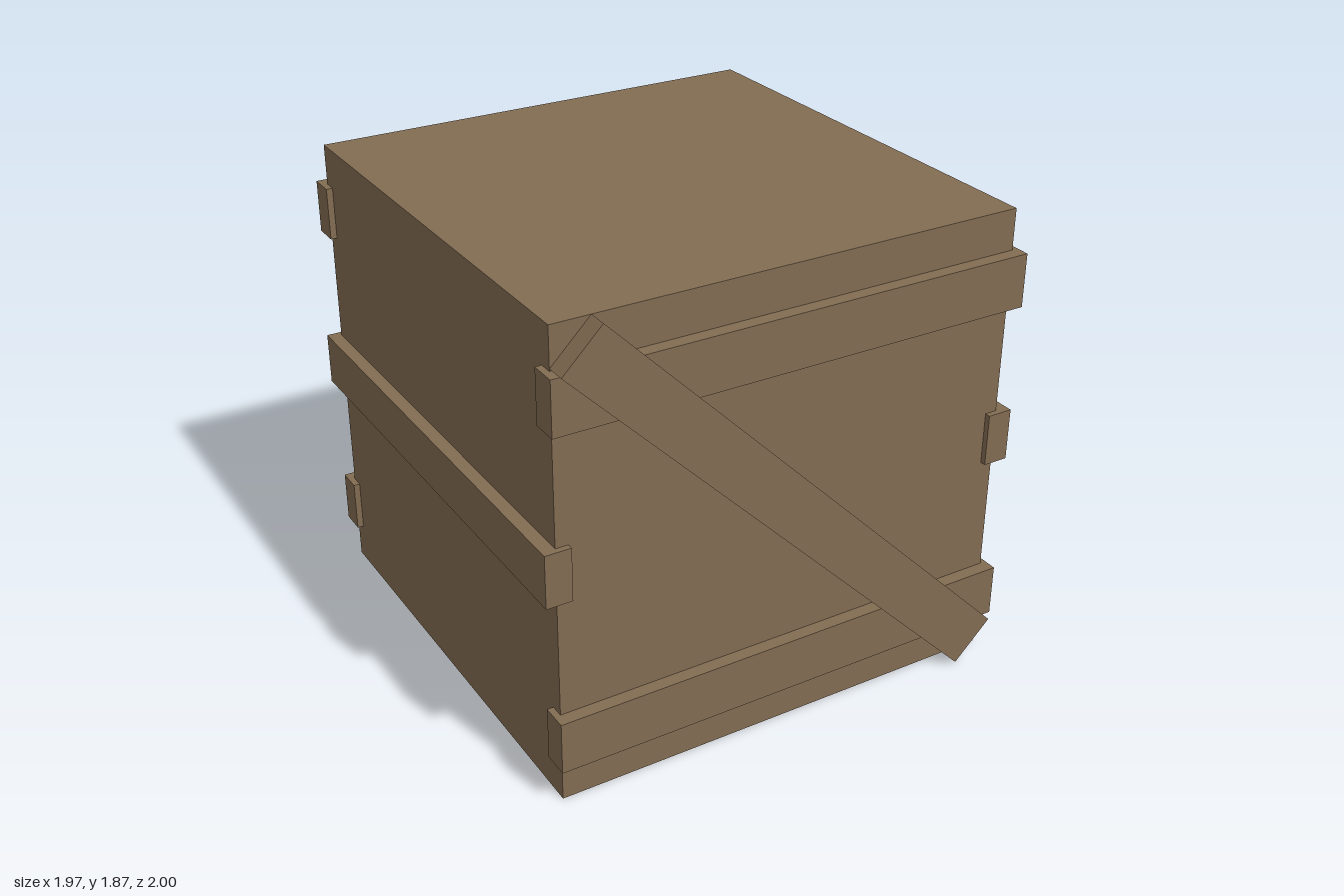
import * as THREE from 'three';

export function createModel() {
  const crate = new THREE.Group();
  crate.name = 'crate';
  const wood = new THREE.MeshStandardMaterial({ color: 0x826c52 });
  wood.name = 'brown wood';

  function add(name, geometry, x, y, z) {
    const mesh = new THREE.Mesh(geometry, wood);
    mesh.name = name;
    mesh.position.set(x, y, z);
    crate.add(mesh);
  }
  const box = (w, h, d) => new THREE.BoxGeometry(w, h, d);

  // Main cube
  const size = 1.87, bodyZ = -0.013;
  add('body', box(size, size, size), 0, size / 2, bodyZ);

  // Two horizontal slats on the front and on the back
  for (const [level, y] of [['lower', 0.267], ['upper', 1.604]]) {
    add(level + 'FrontSlat', box(1.92, 0.21, 0.105), 0, y, 0.922);
    add(level + 'BackSlat', box(1.92, 0.21, 0.105), 0, y, -0.947);
  }

  // One horizontal slat across each side
  for (const [side, s] of [['left', 1], ['right', -1]]) {
    add(side + 'SideSlat', box(0.102, 0.21, 1.916), s * 0.936, 0.95, bodyZ);
  }

  // Diagonal brace from upper right to lower left, ends cut square
  const h = size / 2, cut = 0.152;
  const brace = new THREE.Shape([
    [-h, size - cut], [h - cut, 0], [h, cut], [-h + cut, size],
  ].map(([x, y]) => new THREE.Vector2(x, y)));
  add('diagonalBrace', new THREE.ExtrudeGeometry(brace, { depth: 0.085, bevelEnabled: false }), 0, 0, 0.915);

  return crate;
}
